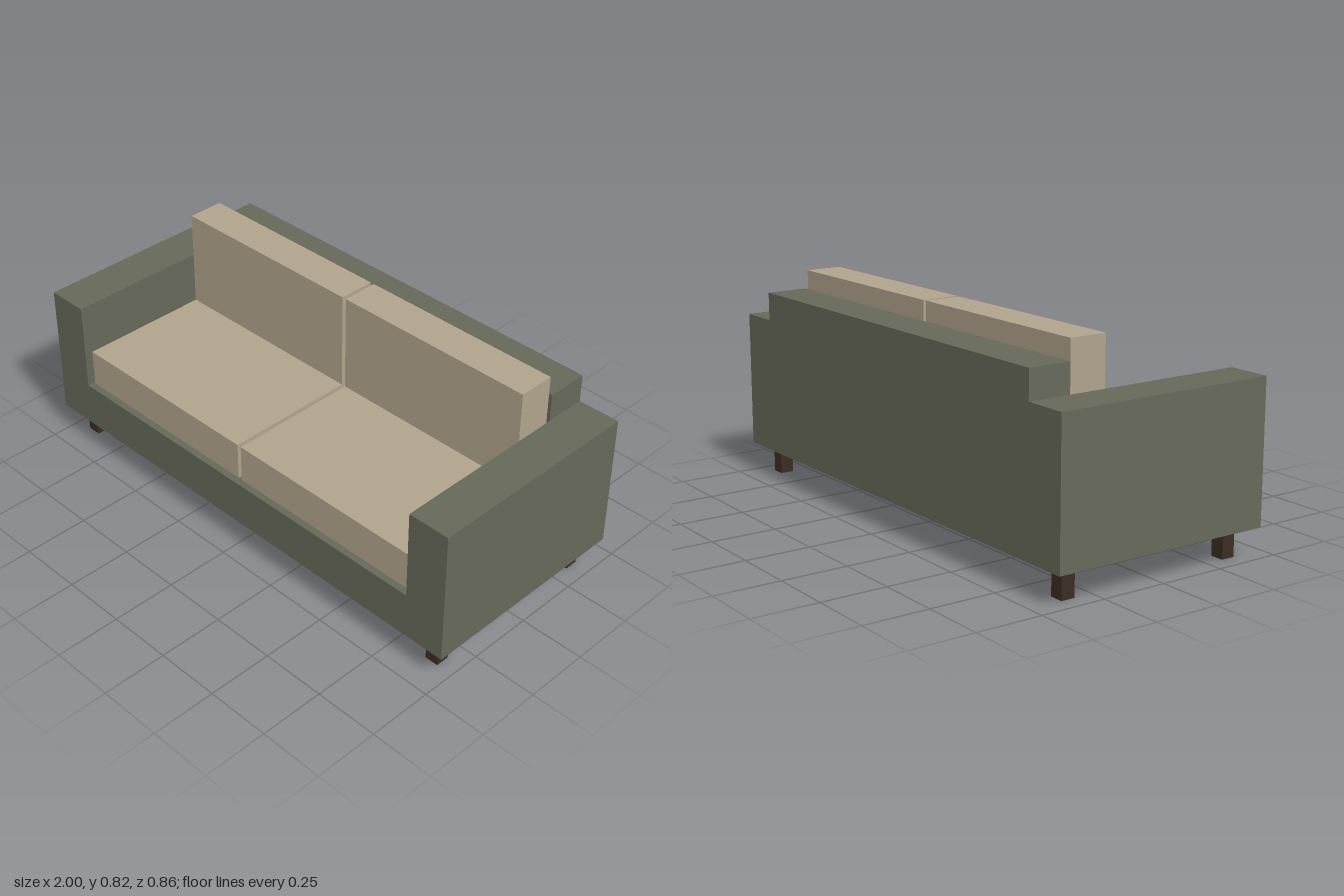
import * as THREE from 'three';

export function createModel() {
  const sofa = new THREE.Group();
  sofa.name = 'sofa';

  const material = (name, color) => {
    const m = new THREE.MeshStandardMaterial({ color });
    m.name = name;
    return m;
  };
  const green = material('olive upholstery', 0x666959);
  const beige = material('beige cushion fabric', 0xb0a38c);
  const brown = material('dark wood', 0x3b2c22);

  // Box given by its extents along each axis
  const box = (name, mat, [x0, x1], [y0, y1], [z0, z1]) => {
    const mesh = new THREE.Mesh(new THREE.BoxGeometry(x1 - x0, y1 - y0, z1 - z0), mat);
    mesh.position.set((x0 + x1) / 2, (y0 + y1) / 2, (z0 + z1) / 2);
    mesh.name = name;
    sofa.add(mesh);
  };
  const mirror = (side, a, b) => (side > 0 ? [a, b] : [-b, -a]);

  // Frame between the arms
  const inner = 0.835, depth = 0.432, bottom = 0.112, seat = 0.29;
  box('base', green, [-inner, inner], [bottom, seat], [-0.268, depth]);
  box('backrest', green, [-inner, inner], [bottom, 0.746], [-depth, -0.268]);

  for (const side of [1, -1]) {
    const label = side > 0 ? 'left' : 'right';
    box(label + 'Arm', green, mirror(side, inner, 1), [bottom, 0.638], [-depth, depth]);

    // Loose cushions
    const width = mirror(side, 0.008, 0.826);
    box(label + 'SeatCushion', beige, width, [seat, 0.437], [-0.262, 0.405]);
    box(label + 'BackCushion', beige, width, [0.437, 0.819], [-0.262, -0.118]);

    // Square legs
    box(label + 'FrontLeg', brown, mirror(side, 0.882, 0.935), [0, bottom], [0.32, 0.373]);
    box(label + 'BackLeg', brown, mirror(side, 0.882, 0.935), [0, bottom], [-0.373, -0.32]);
  }
  return sofa;
}
